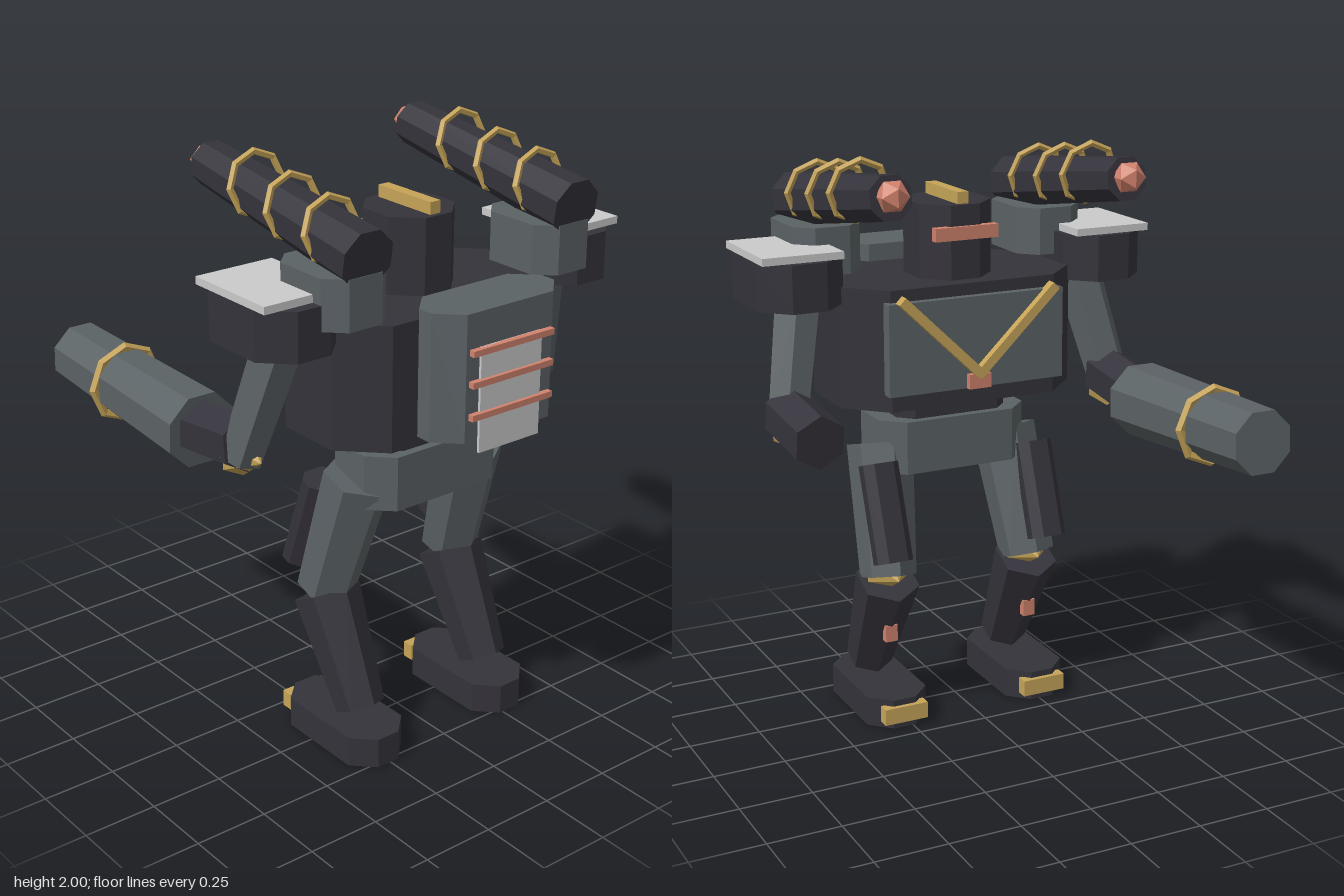
import * as THREE from 'three';

const mat = (name, color) => Object.assign(new THREE.MeshStandardMaterial({ color }), { name });
const V = (x, y, z) => new THREE.Vector3(x, y, z);
const UP = V(0, 1, 0);

export function createModel() {
  const dark = mat('charcoal', 0x35333b);
  const grey = mat('steelGrey', 0x5b6265);
  const gold = mat('gold', 0xc6a458);
  const copper = mat('copper', 0xd0826c);
  const pale = mat('paleGrey', 0xcacaca);

  const model = new THREE.Group();
  model.name = 'walkerRobot';
  const body = new THREE.Group();
  body.name = 'body';
  body.position.x = 0.01;
  model.add(body);

  // Adds a mesh with faceted normals
  function add(name, geometry, material, parent = body) {
    const flat = geometry.index ? geometry.toNonIndexed() : geometry;
    flat.computeVertexNormals();
    const mesh = new THREE.Mesh(flat, material);
    mesh.name = name;
    parent.add(mesh);
    return mesh;
  }

  // Box given by its ranges on each axis
  function box(name, material, [x0, x1], [y0, y1], [z0, z1], parent) {
    const mesh = add(name, new THREE.BoxGeometry(x1 - x0, y1 - y0, z1 - z0), material, parent);
    mesh.position.set((x0 + x1) / 2, (y0 + y1) / 2, (z0 + z1) / 2);
    return mesh;
  }

  // Upright block whose four vertical edges are cut off by c
  function block(name, material, [x0, x1], [y0, y1], [z0, z1], c, parent) {
    const w = (x1 - x0) / 2, d = (z1 - z0) / 2, h = y1 - y0;
    const outline = [
      [w, c - d], [w, d - c], [w - c, d], [c - w, d],
      [-w, d - c], [-w, c - d], [c - w, -d], [w - c, -d],
    ].map(([x, y]) => new THREE.Vector2(x, y));
    const geometry = new THREE.ExtrudeGeometry(new THREE.Shape(outline), { depth: h, bevelEnabled: false });
    geometry.translate(0, 0, -h / 2).rotateX(-Math.PI / 2);
    const mesh = add(name, geometry, material, parent);
    mesh.position.set((x0 + x1) / 2, (y0 + y1) / 2, (z0 + z1) / 2);
    return mesh;
  }

  // Tapered prism from a to b
  function limb(name, material, a, b, ra, rb, sides, roll, parent) {
    const dir = b.clone().sub(a);
    const geometry = new THREE.CylinderGeometry(rb, ra, dir.length(), sides).rotateY(roll);
    const mesh = add(name, geometry, material, parent);
    mesh.position.copy(a).lerp(b, 0.5);
    mesh.quaternion.setFromUnitVectors(UP, dir.normalize());
    return mesh;
  }

  function ring(name, x, y, z, radius, tube, tilt, parent) {
    const mesh = add(name, new THREE.TorusGeometry(radius, tube, 5, 8), gold, parent);
    mesh.position.set(x, y, z);
    mesh.rotation.x = tilt;
    return mesh;
  }

  // Torso
  block('torso', dark, [-0.43, 0.43], [1.14, 1.55], [0.065, 0.56], 0.13);
  block('waist', dark, [-0.205, 0.205], [1.05, 1.15], [0.2, 0.44], 0.05);
  block('pelvis', grey, [-0.275, 0.275], [0.88, 1.065], [0.17, 0.47], 0.075);

  // Backpack with vent plate and bars
  block('backpack', grey, [-0.247, 0.247], [1.2, 1.61], [0.54, 0.745], 0.075);
  box('ventPlate', pale, [-0.122, 0.122], [1.16, 1.5], [0.746, 0.755]);
  for (const y of [1.285, 1.39, 1.49])
    box('ventBar', copper, [-0.162, 0.162], [y - 0.01, y + 0.01], [0.748, 0.768]);

  // Chest panel with its chevron
  box('chestPanel', grey, [-0.32, 0.32], [1.2, 1.51], [0.035, 0.08]);
  for (const s of [-1, 1]) {
    const bar = add('chevronBar', new THREE.BoxGeometry(0.4, 0.032, 0.035), gold);
    bar.position.set(s * 0.138, 1.385, 0.025);
    bar.rotation.z = s * Math.atan2(0.27, 0.28);
  }
  box('chestBadge', copper, [-0.04, 0.04], [1.2, 1.25], [0.015, 0.05]);

  // Head
  block('head', dark, [-0.133, 0.133], [1.54, 1.8], [0.125, 0.413], 0.08);
  box('crest', gold, [-0.02, 0.02], [1.79, 1.84], [0.145, 0.395]);
  box('visor', copper, [-0.115, 0.115], [1.685, 1.73], [0.112, 0.14]);

  for (const s of [-1, 1]) {
    const range = (a, b) => (s > 0 ? [a, b] : [-b, -a]);

    // Shoulder
    const shoulder = new THREE.Group();
    shoulder.name = s > 0 ? 'leftShoulder' : 'rightShoulder';
    body.add(shoulder);
    block('shoulderBlock', dark, range(0.41, 0.71), [1.495, 1.655], [0.11, 0.52], 0.09, shoulder);
    box('shoulderPlate', pale, range(0.43, 0.71), [1.655, 1.68], [0.135, 0.482], shoulder);

    // Shoulder cannon
    const x = s * 0.415;
    block('cannonMount', grey, range(0.295, 0.537), [1.575, 1.737], [0.265, 0.578], 0.06, shoulder);
    limb('cannonBarrel', dark, V(x, 1.785, 0.583), V(x, 1.903, -0.21), 0.096, 0.075, 8, Math.PI / 8, shoulder);
    [[1.835, 0.412], [1.86, 0.226], [1.89, 0.042]].forEach(([y, z]) =>
      ring('cannonRing', x, y, z, 0.1, 0.012, -0.157, shoulder));
    const tip = add('cannonTip', new THREE.IcosahedronGeometry(0.055, 0), copper, shoulder);
    tip.position.set(x, 1.91, -0.222);

    // Arm
    const arm = new THREE.Group();
    arm.name = s > 0 ? 'leftArm' : 'rightArm';
    body.add(arm);
    limb('upperArm', grey, V(s * 0.52, 1.54, 0.32), V(s * 0.615, 1.09, 0.21), 0.086, 0.074, 6, 0, arm);
    limb('elbowCap', gold, V(s * 0.6, 1.105, 0.2), V(s * 0.605, 1.1, 0.305), 0.085, 0, 6, 0, arm);
    limb('forearm', dark, V(s * 0.605, 1.14, 0.225), V(s * 0.602, 1.108, -0.05), 0.093, 0.093, 6, 0, arm);
    if (s < 0) {
      limb('gunBarrel', grey, V(-0.6, 1.1, -0.025), V(-0.6, 1.14, -0.765), 0.13, 0.11, 8, Math.PI / 8, arm);
      ring('gunRing', -0.6, 1.122, -0.475, 0.125, 0.016, 0, arm);
    }

    // Leg
    const leg = new THREE.Group();
    leg.name = s > 0 ? 'leftLeg' : 'rightLeg';
    body.add(leg);
    limb('thigh', grey, V(s * 0.238, 0.96, 0.32), V(s * 0.27, 0.52, 0.19), 0.115, 0.098, 6, Math.PI / 6, leg);
    const guard = block('thighGuard', dark, [-0.065, 0.065], [-0.17, 0.17], [-0.05, 0.05], 0.03, leg);
    guard.position.set(s * 0.295, 0.765, 0.145);
    guard.rotation.x = 0.35;
    limb('kneeCap', gold, V(s * 0.27, 0.545, 0.19), V(s * 0.27, 0.525, 0.1), 0.085, 0, 6, 0, leg);
    limb('shin', dark, V(s * 0.27, 0.505, 0.195), V(s * 0.27, 0.15, 0.373), 0.112, 0.082, 6, 0, leg);
    const light = box('shinLight', copper, [-0.022, 0.022], [-0.03, 0.03], [-0.015, 0.015], leg);
    light.position.set(s * 0.27, 0.31, 0.182);

    // Foot
    block('foot', dark, range(0.158, 0.382), [0, 0.105], [0.065, 0.52], 0.07, leg);
    box('toe', gold, range(0.19, 0.35), [0.025, 0.083], [0.048, 0.09], leg);
  }
  return model;
}
